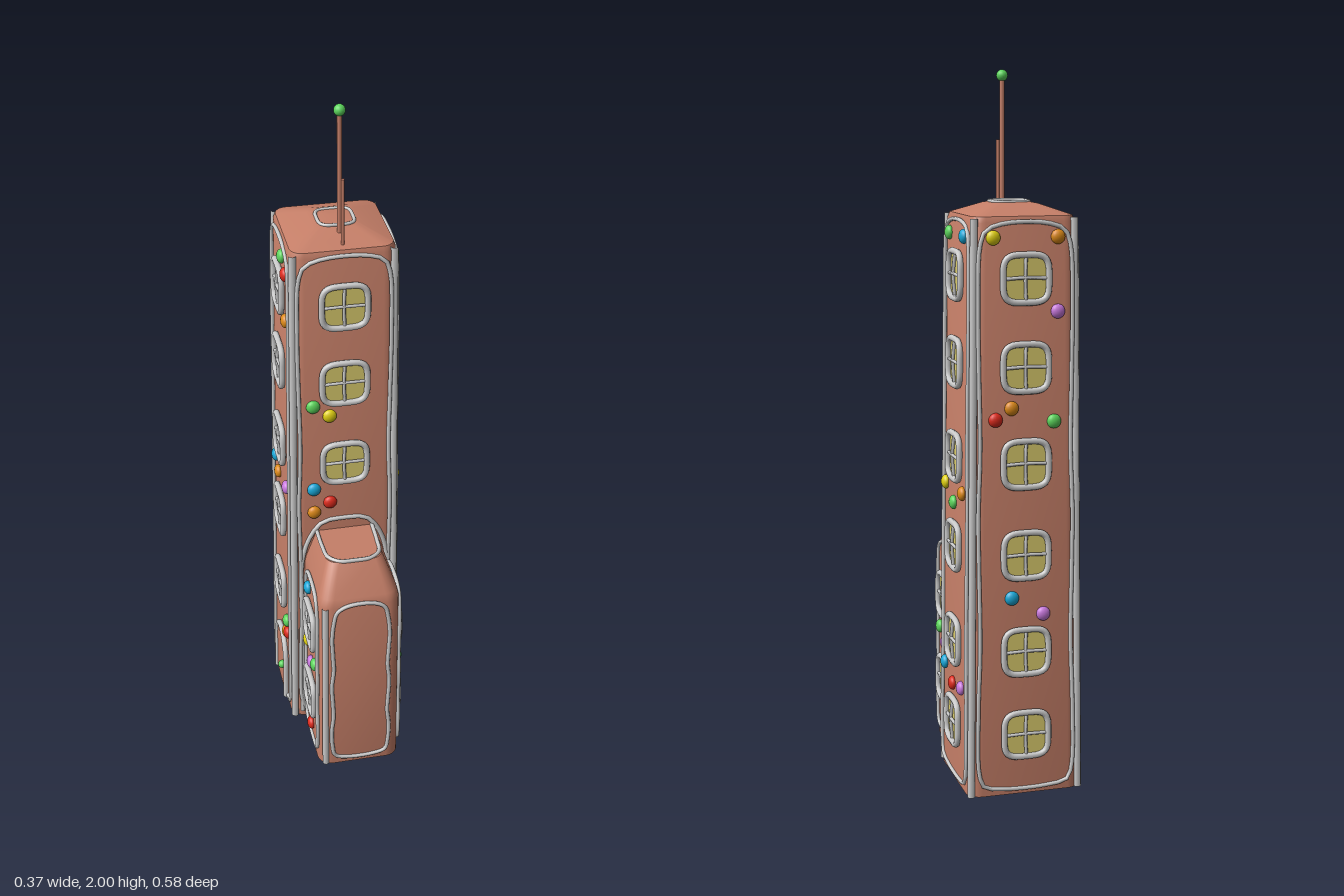
import * as THREE from 'three';
import { toCreasedNormals } from 'three/addons/utils/BufferGeometryUtils.js';

const mat = (color, side = THREE.FrontSide) => new THREE.MeshStandardMaterial({ color, side });
const WALL = mat(0xc67f68), TRIM = mat(0xcccccc), PANE = mat(0xdfd070, THREE.DoubleSide);
const CANDY = {
  green: mat(0x5bd45b), cyan: mat(0x18a8d8), red: mat(0xdd2a1c),
  yellow: mat(0xe0d010), orange: mat(0xdd8a18), purple: mat(0xc878dd),
};
const V = (x, y, z = 0) => new THREE.Vector3(x, y, z);

function add(parent, name, geometry, material, x = 0, y = 0, z = 0) {
  const m = new THREE.Mesh(geometry, material);
  m.name = name;
  m.position.set(x, y, z);
  parent.add(m);
  return m;
}

// Piped trim along a smooth path
function pipe(parent, name, pts, r, closed = false, seg = pts.length * 5) {
  const curve = new THREE.CatmullRomCurve3(pts, closed, 'centripetal');
  return add(parent, name, new THREE.TubeGeometry(curve, seg, r, 8, closed), TRIM);
}

// Stack of rounded rectangles [y, x0, x1, z0, z1, radius], closed at both ends
function loft(rings) {
  const arc = 6, n = 4 * (arc + 1), pos = [], idx = [];
  for (const [y, x0, x1, z0, z1, r] of rings) {
    const corners = [[x1 - r, z1 - r], [x0 + r, z1 - r], [x0 + r, z0 + r], [x1 - r, z0 + r]];
    corners.forEach(([cx, cz], q) => {
      for (let i = 0; i <= arc; i++) {
        const a = (q + i / arc) * Math.PI / 2;
        pos.push(cx + r * Math.cos(a), y, cz + r * Math.sin(a));
      }
    });
  }
  for (let k = 0; k < rings.length - 1; k++) for (let i = 0; i < n; i++) {
    const a = k * n + i, b = k * n + (i + 1) % n;
    idx.push(a, a + n, b, b, a + n, b + n);
  }
  [0, rings.length - 1].forEach((k, top) => {
    const [y, x0, x1, z0, z1] = rings[k], c = pos.length / 3;
    pos.push((x0 + x1) / 2, y, (z0 + z1) / 2);
    for (let i = 0; i < n; i++) {
      const a = k * n + i, b = k * n + (i + 1) % n;
      top ? idx.push(c, b, a) : idx.push(c, a, b);
    }
  });
  const g = new THREE.BufferGeometry();
  g.setAttribute('position', new THREE.Float32BufferAttribute(pos, 3));
  g.setIndex(idx);
  return toCreasedNormals(g, 0.5);
}

// Soft square outline
function softSquare(h, n = 32) {
  return Array.from({ length: n }, (_, i) => {
    const a = (i / n) * Math.PI * 2, c = Math.cos(a), s = Math.sin(a);
    const k = h / Math.pow(c ** 4 + s ** 4, 0.25);
    return V(c * k, s * k);
  });
}
const outline = softSquare(0.064);
const frameGeo = new THREE.TubeGeometry(new THREE.CatmullRomCurve3(outline, true), 48, 0.009, 8, true);
const paneGeo = new THREE.ShapeGeometry(new THREE.Shape(outline.map(p => new THREE.Vector2(p.x, p.y))));
const barGeo = new THREE.TubeGeometry(
  new THREE.CatmullRomCurve3([V(-0.062, 0, 0.003), V(0, 0.003, 0.007), V(0.062, 0, 0.003)]), 10, 0.005, 6);
const candyGeo = new THREE.SphereGeometry(0.02, 16, 12);

// A wall frame: local x runs along the wall, local z points out of it
function wall(root, name, x, z, angle, tilt = 0) {
  const g = new THREE.Group();
  g.name = name;
  g.position.set(x, 0, z);
  g.rotation.set(-tilt, angle, 0, 'YXZ');
  root.add(g);
  return g;
}

function windowAt(w, u, y) {
  const g = new THREE.Group();
  g.name = 'window';
  g.position.set(u, y, 0.004);
  w.add(g);
  add(g, 'windowFrame', frameGeo, TRIM, 0, 0, 0.004);
  add(g, 'windowPane', paneGeo, PANE);
  add(g, 'windowBar', barGeo, TRIM);
  add(g, 'windowBar', barGeo, TRIM).rotation.z = Math.PI / 2;
}

function candies(w, list) {
  for (const [color, u, y] of list)
    add(w, 'candy', candyGeo, CANDY[color], u, y, 0.004).scale.z = 0.65;
}

// Piped wall border with an arched top and slightly wavy sides
function border(w, half, y0, y1, taper = 0.95) {
  const side = [], h = y1 - y0;
  for (let i = 0; i <= 8; i++) {
    const t = i / 8;
    side.push([half * (1 - (1 - taper) * t) + 0.003 * Math.sin(i * 2.1), y0 + 0.05 + (h - 0.11) * t]);
  }
  const right = [[half * 0.5, y0], [half * 0.9, y0 + 0.012], ...side, [half * 0.82, y1 - 0.022], [half * 0.45, y1 - 0.003]];
  const pts = [...right.map(([u, y]) => V(u, y, 0.002)), ...right.reverse().map(([u, y]) => V(-u, y, 0.002))];
  pipe(w, 'wallBorder', pts, 0.006, true, 130);
}

export function createModel() {
  const root = new THREE.Group();
  root.name = 'tower';
  const CX = 0.003, CZ = -0.114, H0 = 0.165, H1 = 0.148, TILT = (H0 - H1) / 1.6;

  // Main tower with a low hipped roof
  const ring = (y, h, r) => [y, CX - h, CX + h, CZ - h, CZ + h, r];
  add(root, 'towerBody', loft([ring(0, H0, 0.04), ring(1.6, H1, 0.04), ring(1.615, H1 - 0.006, 0.035),
    ring(1.643, 0.066, 0.02), ring(1.647, 0.045, 0.015)]), WALL);

  // Front annex with a sloping roof
  add(root, 'annexBody', loft([[0, -0.12, 0.125, -0.06, 0.279, 0.04], [0.6, -0.117, 0.122, -0.06, 0.277, 0.04],
    [0.625, -0.112, 0.117, -0.06, 0.268, 0.04], [0.71, -0.08, 0.085, -0.06, 0.205, 0.035]]), WALL);

  // Corner rods
  for (const sx of [-1, 1]) for (const sz of [-1, 1])
    pipe(root, 'cornerRod', [0, 1.61].map((y, i) => {
      const h = (i ? H1 : H0) - 0.009;
      return V(CX + sx * h, y, CZ + sz * h);
    }), 0.011);
  pipe(root, 'annexCornerRod', [V(-0.1, 0, 0.271), V(-0.098, 0.6, 0.268)], 0.01);

  // Tower walls: angle, window heights, candies
  const all = [0.175, 0.415, 0.69, 0.945, 1.21, 1.45];
  const walls = {
    frontWall: [0, all.slice(3), [['green', -0.09, 1.14], ['yellow', -0.043, 1.105], ['cyan', -0.09, 0.86],
      ['orange', -0.09, 0.78], ['red', -0.043, 0.81]]],
    leftWall: [Math.PI / 2, all, [['green', -0.077, 1.56], ['cyan', 0.08, 1.56], ['yellow', -0.104, 0.85],
      ['green', -0.014, 0.81], ['orange', 0.08, 0.855], ['cyan', -0.104, 0.315], ['red', -0.014, 0.28], ['purple', 0.08, 0.295]]],
    backWall: [Math.PI, all, [['yellow', -0.09, 1.56], ['orange', 0.09, 1.56], ['purple', 0.09, 1.36],
      ['orange', -0.04, 1.1], ['red', -0.085, 1.07], ['green', 0.08, 1.06], ['cyan', -0.04, 0.57], ['purple', 0.05, 0.52]]],
    rightWall: [-Math.PI / 2, all.slice(1), [['green', 0.04, 1.56], ['red', 0.09, 1.53], ['orange', 0.095, 1.39],
      ['purple', 0.09, 0.83], ['cyan', -0.085, 0.83], ['orange', -0.04, 0.8], ['green', 0.085, 0.325],
      ['red', 0.1, 0.29], ['orange', 0.07, 0.27]]],
  };
  for (const [name, [angle, heights, sweets]] of Object.entries(walls)) {
    const w = wall(root, name, CX + H0 * Math.sin(angle), CZ + H0 * Math.cos(angle), angle, TILT);
    border(w, 0.135, 0.018, 1.6);
    heights.forEach(y => windowAt(w, 0, y));
    candies(w, sweets);
    if (name === 'rightWall') {
      // Arched door with a round knob
      const s = new THREE.Shape();
      s.moveTo(-0.075, 0.015);
      s.lineTo(0.075, 0.015);
      s.lineTo(0.075, 0.15);
      s.absarc(0, 0.15, 0.075, 0, Math.PI);
      add(w, 'door', new THREE.ExtrudeGeometry(s, { depth: 0.008, bevelEnabled: false, curveSegments: 20 }), WALL);
      const arch = [V(0.077, 0.01, 0.006), V(0.077, 0.08, 0.006)];
      for (let i = 0; i <= 8; i++) {
        const a = i * Math.PI / 8;
        arch.push(V(0.077 * Math.cos(a), 0.15 + 0.077 * Math.sin(a), 0.006));
      }
      arch.push(V(-0.077, 0.08, 0.006), V(-0.077, 0.01, 0.006));
      pipe(w, 'doorFrame', arch, 0.009);
      add(w, 'doorKnob', new THREE.SphereGeometry(0.013, 14, 10), CANDY.green, 0.05, 0.12, 0.014);
    }
  }

  // Annex walls
  const front = wall(root, 'annexFront', 0.004, 0.279, 0, 0.003);
  border(front, 0.085, 0.022, 0.61, 0.97);
  for (const s of [1, -1]) {
    const w = wall(root, 'annexSide', 0.0025 + s * 0.1225, 0.162, s * Math.PI / 2, 0.004);
    border(w, 0.09, 0.03, 0.62, 0.97);
    windowAt(w, 0, 0.46);
    windowAt(w, 0, 0.2);
    candies(w, [['cyan', s * 0.042, 0.565], ['green', s * -0.055, 0.35], ['purple', 0, 0.315],
      ['yellow', s * 0.057, 0.355], ['red', 0, 0.07]]);
  }

  // Piping on the annex roof, around its join and on the tower roof
  pipe(root, 'annexRoofTrim', [V(-0.08, 0.711, 0.04), V(-0.079, 0.711, 0.12), V(-0.072, 0.711, 0.175), V(-0.045, 0.711, 0.2),
    V(0, 0.711, 0.204), V(0.05, 0.711, 0.2), V(0.077, 0.711, 0.175), V(0.083, 0.711, 0.12), V(0.085, 0.711, 0.04)], 0.006);
  pipe(root, 'annexJoinTrim', [V(-0.13, 0.02, 0.05), V(-0.127, 0.35, 0.047), V(-0.124, 0.61, 0.045), V(-0.095, 0.7, 0.044),
    V(-0.06, 0.74, 0.043), V(0, 0.747, 0.043), V(0.065, 0.74, 0.043), V(0.1, 0.7, 0.044), V(0.129, 0.61, 0.045),
    V(0.132, 0.35, 0.047), V(0.135, 0.02, 0.05)], 0.007);
  pipe(root, 'roofTrim', softSquare(0.05).map(p => V(p.x + 0.005, 1.647, p.y - 0.108)), 0.005, true);

  // Antennas
  const rod = (name, r, y0, y1, z) =>
    add(root, name, new THREE.CylinderGeometry(r, r, y1 - y0, 10), WALL, 0.004, (y0 + y1) / 2, z);
  rod('tallAntenna', 0.007, 1.61, 1.98, -0.036);
  rod('shortAntenna', 0.005, 1.6, 1.81, 0.007);
  add(root, 'antennaBall', new THREE.SphereGeometry(0.016, 16, 12), CANDY.green, 0.004, 1.984, -0.036);
  return root;
}
